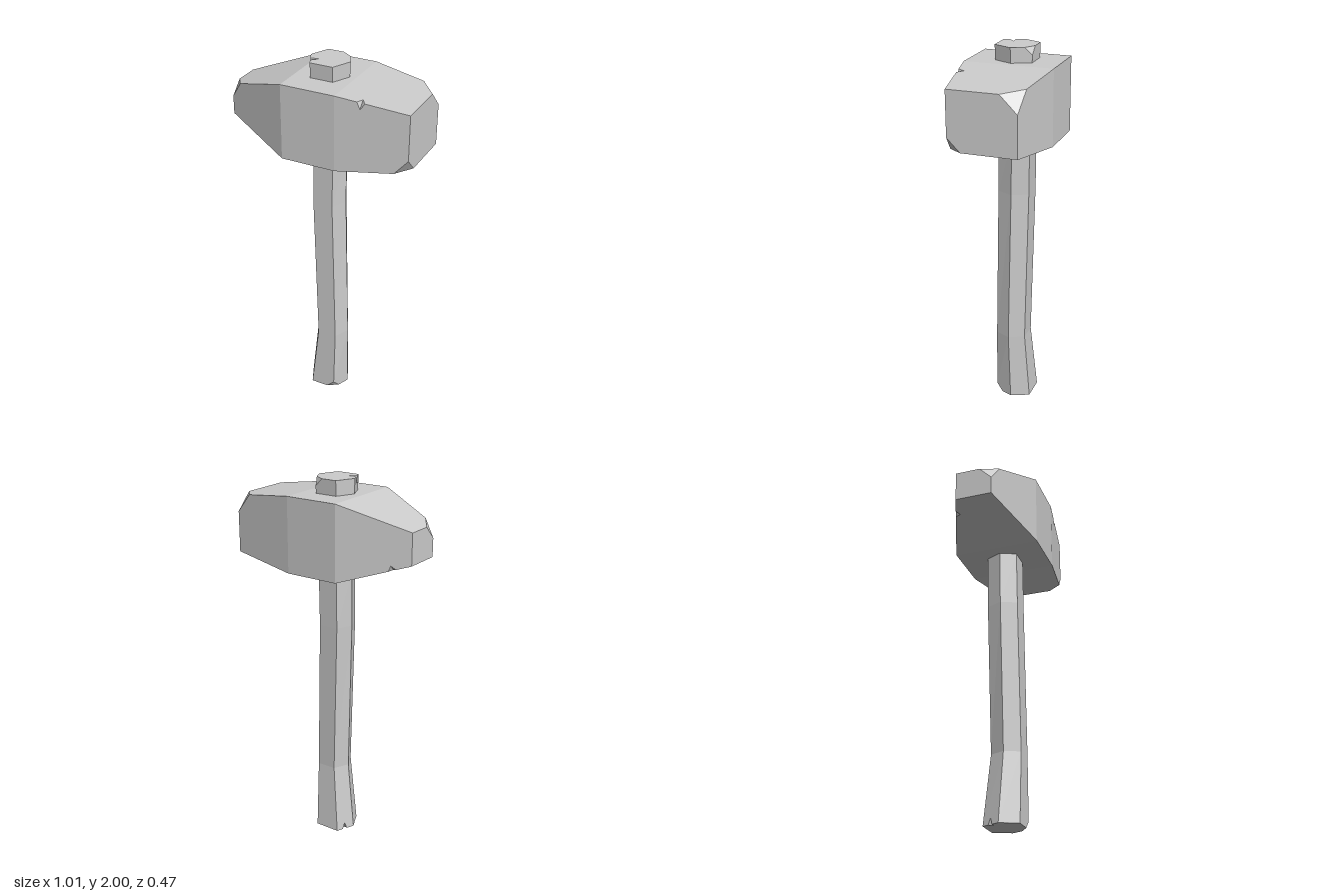
import * as THREE from 'three';

const V = (x, y, z) => new THREE.Vector3(x, y, z);

// Polygons of a solid lofted through rings (counterclockwise seen from the far end)
function loft(rings) {
  const faces = [[...rings[0]].reverse(), [...rings[rings.length - 1]]];
  for (let r = 0; r + 1 < rings.length; r++) {
    const a = rings[r], b = rings[r + 1];
    a.forEach((p, i) => {
      const j = (i + 1) % a.length;
      faces.push([p, a[j], b[j], b[i]]);
    });
  }
  return faces;
}

function polygonNormal(face) {
  const n = V(0, 0, 0);
  face.forEach((p, i) => n.add(p.clone().cross(face[(i + 1) % face.length])));
  return n.normalize();
}

// Cut a V-shaped nick into the edge from a to b, between fractions t0 and t1
function nick(faces, a, b, t0, t1, depths) {
  const e1 = a.clone().lerp(b, t0), e2 = a.clone().lerp(b, t1);
  const mid = e1.clone().lerp(e2, 0.5);
  const cut = (from, to, first, last, depth) => {
    const face = faces.find((f) => f.some((p, i) => p === from && f[(i + 1) % f.length] === to));
    const inward = polygonNormal(face).cross(to.clone().sub(from)).normalize();
    const inner = mid.clone().addScaledVector(inward, depth);
    face.splice(face.indexOf(from) + 1, 0, first, inner, last);
    return inner;
  };
  const i1 = cut(a, b, e1, e2, depths[0]);
  const i2 = cut(b, a, e2, e1, depths[1]);
  faces.push([i1, e1, i2], [e2, i1, i2]);
}

// Slice off a corner where three faces meet
function chip(faces, corner, size) {
  const tri = [];
  const toward = (p) => corner.clone().addScaledVector(p.clone().sub(corner).normalize(), size);
  for (const face of faces) {
    const i = face.indexOf(corner);
    if (i < 0) continue;
    const before = toward(face[(i + face.length - 1) % face.length]);
    const after = toward(face[(i + 1) % face.length]);
    face.splice(i, 1, before, after);
    tri.push(before);
  }
  if (polygonNormal(tri).dot(corner.clone().sub(tri[0])) < 0) tri.reverse();
  faces.push(tri);
}

// Triangulate the polygons into a flat-shaded mesh
function buildMesh(name, faces) {
  const positions = [];
  for (const face of faces) {
    const n = polygonNormal(face);
    const u = face[1].clone().sub(face[0]).projectOnPlane(n).normalize();
    const v = n.clone().cross(u);
    const flat = face.map((p) => new THREE.Vector2(p.dot(u), p.dot(v)));
    for (const t of THREE.ShapeUtils.triangulateShape(flat, [])) {
      const tri = t.map((i) => face[i]);
      if (polygonNormal(tri).dot(n) < 0) tri.reverse();
      tri.forEach((p) => positions.push(p.x, p.y, p.z));
    }
  }
  const geometry = new THREE.BufferGeometry();
  geometry.setAttribute('position', new THREE.Float32BufferAttribute(positions, 3));
  geometry.computeVertexNormals();
  const mesh = new THREE.Mesh(geometry, new THREE.MeshStandardMaterial({ color: 0xcccccc, flatShading: true }));
  mesh.name = name;
  return mesh;
}

// Hammer head: rectangular sections along x, as [x, bottom, top, half depth]
function createHead() {
  const rings = [
    [-0.505, 1.64, 1.805, 0.1],
    [-0.15, 1.525, 1.922, 0.235],
    [0.14, 1.525, 1.922, 0.235],
    [0.505, 1.57, 1.876, 0.18],
  ].map(([x, y0, y1, d]) => [V(x, y0, -d), V(x, y1, -d), V(x, y1, d), V(x, y0, d)]);
  const faces = loft(rings);
  nick(faces, rings[2][2], rings[3][2], 0.3, 0.41, [0.035, 0.035]);
  nick(faces, rings[1][0], rings[0][0], 0.7, 0.8, [0.025, 0.025]);
  chip(faces, rings[3][3], 0.07);
  chip(faces, rings[3][1], 0.09);
  chip(faces, rings[0][2], 0.068);
  return buildMesh('hammerHead', faces);
}

// Bent handle: hexagons along y, as [y, outer left x, inner left x, inner right x, outer right x, back z, front z]
function createHandle() {
  const rings = [
    [0, -0.11, -0.065, 0.073, 0.115, -0.095, 0.1],
    [0.38, -0.065, -0.025, 0.08, 0.12, -0.068, 0.095],
    [1.22, -0.09, -0.053, 0.056, 0.095, -0.081, 0.089],
    [1.52, -0.09, -0.052, 0.058, 0.095, -0.085, 0.085],
    [2, -0.106, -0.06, 0.064, 0.111, -0.1, 0.1],
  ].map(([y, x0, x1, x2, x3, zb, zf]) => {
    const zm = (zb + zf) / 2;
    return [V(x3, y, zm), V(x2, y, zb), V(x1, y, zb), V(x0, y, zm), V(x1, y, zf), V(x2, y, zf)];
  });
  const faces = loft(rings);
  const foot = rings[0], top = rings[4];
  nick(faces, top[3], top[4], 0.42, 0.68, [0.045, 0.04]);
  nick(faces, foot[2], foot[3], 0.35, 0.6, [0.035, 0.03]);
  chip(faces, foot[5], 0.041);
  chip(faces, top[1], 0.04);
  return buildMesh('handle', faces);
}

export function createModel() {
  const model = new THREE.Group();
  model.name = 'hammer';
  model.add(createHead(), createHandle());
  return model;
}
